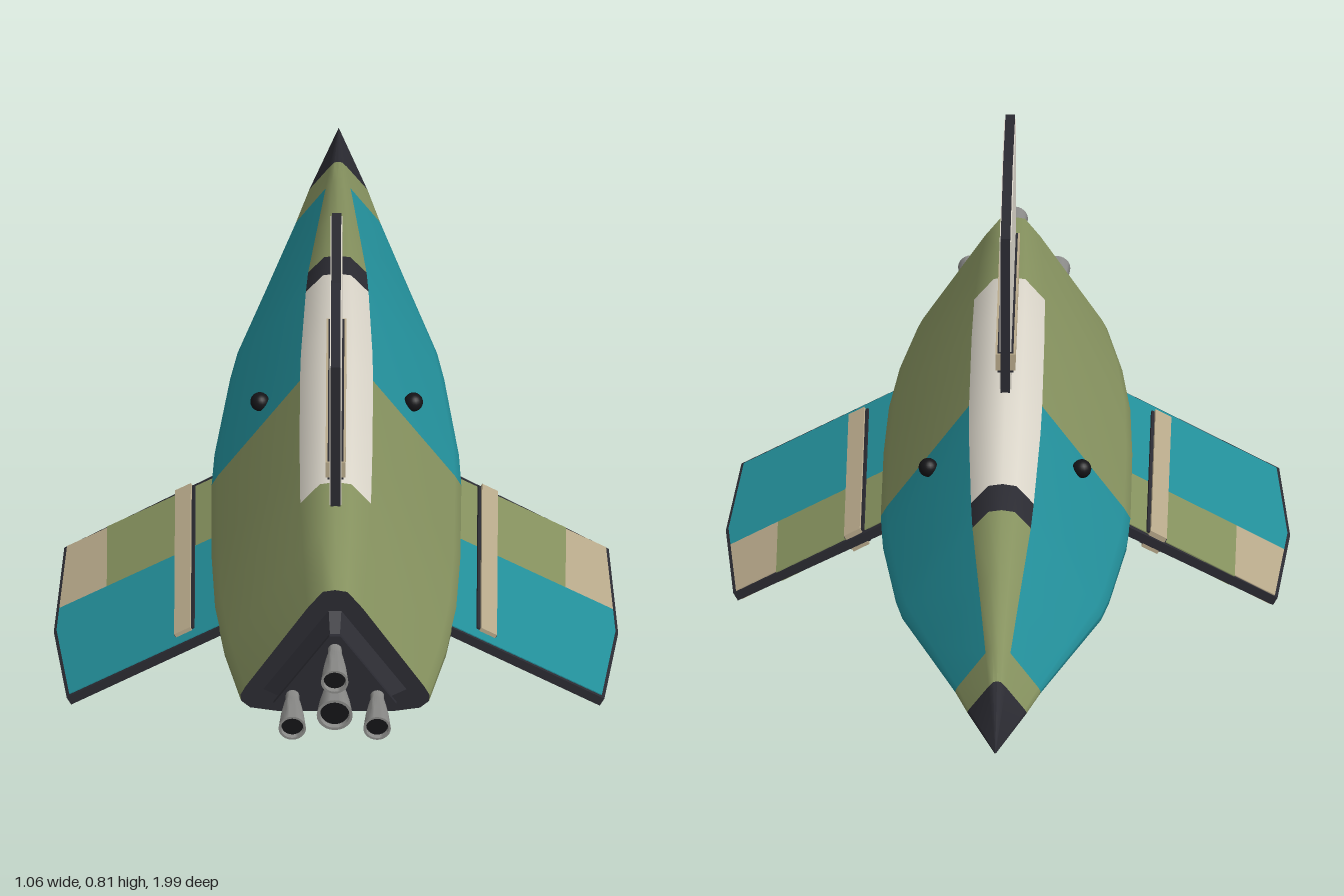
import * as THREE from 'three';
import { toCreasedNormals } from 'three/addons/utils/BufferGeometryUtils.js';

const mat = (color, side = THREE.FrontSide) => new THREE.MeshStandardMaterial({ color, side });
const MATS = {
  olive: mat(0x86925f), teal: mat(0x23909b), white: mat(0xdbd6ca), dark: mat(0x2b2b32),
  sand: mat(0xb9aa8b), metal: mat(0x8a8a88, THREE.DoubleSide), black: mat(0x141417),
};

function add(parent, name, geometry, material, x = 0, y = 0, z = 0) {
  const m = new THREE.Mesh(geometry, MATS[material]);
  m.name = name;
  m.position.set(x, y, z);
  parent.add(m);
  return m;
}

// Hull stations: z, half width, bottom y, top y
const STATIONS = [
  [0.83, 0.18, 0.17, 0.445], [0.67, 0.212, 0.163, 0.467], [0.52, 0.23, 0.156, 0.482],
  [0.35, 0.237, 0.149, 0.491], [0.1, 0.238, 0.147, 0.48], [0, 0.233, 0.15, 0.472],
  [-0.24, 0.204, 0.167, 0.445], [-0.32, 0.19, 0.176, 0.432], [-0.5, 0.138, 0.203, 0.393],
  [-0.7, 0.081, 0.234, 0.346], [-0.8, 0.056, 0.247, 0.322], [-0.99, 0.001, 0.269, 0.271],
];
// Half of the rounded triangular section, x relative to half width, y from 0 to 1
const HALF = [[0, 1], [0.13, 0.985], [0.29, 0.85], [0.94, 0.2], [0.99, 0.135], [0.985, 0.085], [0.89, 0.03], [0.6, 0], [0, 0]];
const SECTION = [...HALF, ...HALF.slice(1, -1).reverse().map(([x, y]) => [-x, y])];

const ring = ([z, w, b, t]) => SECTION.map(([x, y]) => new THREE.Vector3(x * w, b + (t - b) * y, z));

function panelColor(z, onSpine) {
  if (z < -0.8) return 'dark';
  if (z < -0.7) return 'olive';
  if (onSpine) {
    if (z < -0.32) return 'olive';
    if (z < -0.24) return 'dark';
    return z < 0.52 ? 'white' : 'olive';
  }
  return z < 0.1 ? 'teal' : 'olive';
}

// Loft the whole hull for continuous shading, then split it into painted panels
function buildHull() {
  const hull = new THREE.Group();
  hull.name = 'hull';
  const n = SECTION.length, index = [], colors = [];
  for (let i = 0; i < STATIONS.length - 1; i++) {
    for (let k = 0; k < n; k++) {
      const a = i * n + k, b = i * n + (k + 1) % n;
      index.push(a, b, a + n, b, b + n, a + n);
      colors.push(panelColor((STATIONS[i][0] + STATIONS[i + 1][0]) / 2, k < 2 || k >= n - 2));
    }
  }
  const loft = new THREE.BufferGeometry().setFromPoints(STATIONS.flatMap(ring));
  loft.setIndex(index);
  const smooth = toCreasedNormals(loft, 0.9);
  for (const color of new Set(colors)) {
    const g = new THREE.BufferGeometry();
    for (const key of ['position', 'normal']) {
      const src = smooth.attributes[key].array, out = [];
      colors.forEach((c, q) => { if (c === color) out.push(...src.slice(q * 18, q * 18 + 18)); });
      g.setAttribute(key, new THREE.Float32BufferAttribute(out, 3));
    }
    add(hull, color + 'HullPanels', g, color);
  }
  const end = new THREE.Shape(ring(STATIONS[0]).map(p => new THREE.Vector2(p.x, p.y)));
  add(hull, 'rearBulkhead', new THREE.ShapeGeometry(end), 'dark', 0, 0, 0.83);
  return hull;
}

// Flat plate outlined in (z, span), centred on its thickness
function slab(points, thickness) {
  const shape = new THREE.Shape(points.map(p => new THREE.Vector2(...p)));
  return new THREE.ExtrudeGeometry(shape, { depth: thickness, bevelEnabled: false })
    .translate(0, 0, -thickness / 2).rotateY(-Math.PI / 2);
}

// Fin tip span at a given z: slightly bowed
const tip = z => (z > 0.35 ? 0.35 - (z - 0.35) * 0.12 : 0.35 - (0.35 - z) * 0.08);

function panel(z0, z1, s0, s1) {
  const top = z => (s1 === undefined ? tip(z) - 0.007 : s1);
  const pts = [[z0, s0], [z1, s0], [z1, top(z1)]];
  if (z0 < 0.35 && z1 > 0.35) pts.push([0.35, top(0.35)]);
  pts.push([z0, top(z0)]);
  return slab(pts, 0.022);
}

function buildFin(name, painted) {
  const fin = new THREE.Group();
  fin.name = name;
  add(fin, 'finCore', slab([[0.065, -0.03], [0.59, -0.03], [0.592, tip(0.59)], [0.35, tip(0.35)], [0.08, tip(0.08)]], 0.018), 'dark');
  if (painted) {
    add(fin, 'rearFinPanel', panel(0.28, 0.585, -0.03), 'teal');
    add(fin, 'frontFinPanel', panel(0.078, 0.28, -0.03, 0.235), 'olive');
    add(fin, 'finTipPanel', panel(0.082, 0.28, 0.235), 'sand');
  } else {
    add(fin, 'finPanel', panel(0.08, 0.585, -0.03), 'white');
  }
  // Rail along both faces near the root
  add(fin, 'finRail', new THREE.BoxGeometry(0.038, 0.034, 0.487), 'sand', 0, 0.067, 0.318);
  add(fin, 'finRailEdge', new THREE.BoxGeometry(0.03, 0.042, 0.48), 'dark', 0, 0.065, 0.318);
  return fin;
}

// Triangular block, tapering from scale s0 at the hull to s1 at the rear
function triangleBlock(depth, s0, s1) {
  const shape = new THREE.Shape([[-0.135, -0.05], [0.135, -0.05], [0.012, 0.128], [-0.012, 0.128]].map(p => new THREE.Vector2(...p)));
  const g = new THREE.ExtrudeGeometry(shape, { depth, bevelEnabled: false });
  const p = g.attributes.position;
  for (let i = 0; i < p.count; i++) {
    const s = p.getZ(i) > depth / 2 ? s1 : s0;
    p.setXY(i, p.getX(i) * s, p.getY(i) * s);
  }
  g.computeVertexNormals();
  return g;
}

function buildEngine() {
  const engine = new THREE.Group();
  engine.name = 'engine';
  add(engine, 'engineBlock', triangleBlock(0.055, 1, 0.7), 'dark', 0, 0.27, 0.83);
  add(engine, 'enginePlate', triangleBlock(0.008, 0.86, 0.86), 'dark', 0, 0.27, 0.882);
  // Bell nozzles: x, y, mouth radius
  for (const [x, y, r] of [[0, 0.275, 0.034], [0, 0.35, 0.026], [-0.08, 0.245, 0.026], [0.08, 0.245, 0.026]]) {
    const nozzle = new THREE.Group();
    nozzle.name = 'nozzle';
    nozzle.position.set(x, y, 0.88);
    const profile = [[0.5, 0], [0.5, 0.025], [0.62, 0.04], [0.85, 0.08], [1, 0.12], [0.84, 0.12], [0.62, 0.07], [0.4, 0.03]];
    const bell = new THREE.LatheGeometry(profile.map(([a, h]) => new THREE.Vector2(a * r, h)), 24).rotateX(Math.PI / 2);
    add(nozzle, 'nozzleBell', toCreasedNormals(bell, 0.7), 'metal');
    add(nozzle, 'nozzleThroat', new THREE.CylinderGeometry(r * 0.8, r * 0.5, 0.05, 20).rotateX(Math.PI / 2), 'black', 0, 0, 0.085);
    engine.add(nozzle);
  }
  return engine;
}

export function createModel() {
  const model = new THREE.Group();
  model.name = 'rocketShip';
  model.add(buildHull(), buildEngine());

  // Three fins: one upright, two swept down to the sides
  const topFin = buildFin('topFin', false);
  topFin.position.set(0, 0.47, 0);
  model.add(topFin);
  for (const side of [1, -1]) {
    const fin = buildFin(side > 0 ? 'leftFin' : 'rightFin', true);
    fin.position.set(side * 0.222, 0.187, 0);
    fin.rotation.z = -side * THREE.MathUtils.degToRad(119);
    model.add(fin);
  }

  // Domed portholes, one per hull face
  for (const [x, y] of [[0.145, 0.335], [-0.145, 0.335], [0, 0.15]]) {
    add(model, 'porthole', new THREE.SphereGeometry(0.018, 20, 14), 'black', x, y, 0.03);
  }
  return model;
}
